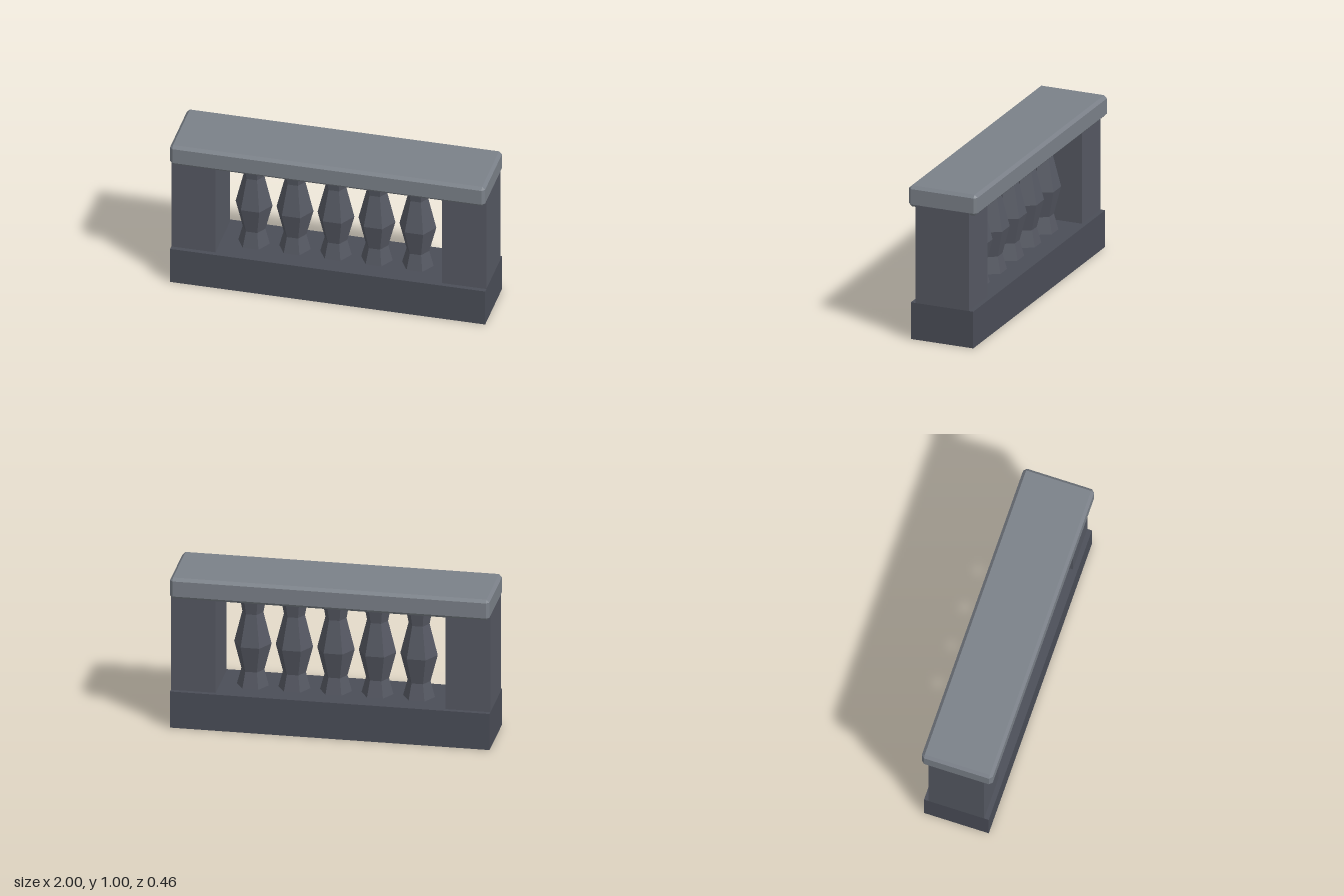
import * as THREE from 'three';
import { ConvexGeometry } from 'three/addons/geometries/ConvexGeometry.js';

const stone = (color) => new THREE.MeshStandardMaterial({ color, flatShading: true });

// Box with every edge cut by a flat chamfer c, centred on the origin
function chamferedBox(w, h, d, c) {
  const points = [];
  for (const sx of [-1, 1]) for (const sy of [-1, 1]) for (const sz of [-1, 1]) {
    const corner = new THREE.Vector3(sx * w / 2, sy * h / 2, sz * d / 2);
    const inset = new THREE.Vector3(sx * c, sy * c, sz * c);
    for (const axis of ['x', 'y', 'z']) {
      const p = corner.clone().sub(inset);
      p[axis] = corner[axis];
      points.push(p);
    }
  }
  return new ConvexGeometry(points);
}

export function createModel() {
  const group = new THREE.Group();
  const add = (name, geometry, material, x, y, z = 0) => {
    const mesh = new THREE.Mesh(geometry, material);
    mesh.name = name;
    mesh.position.set(x, y, z);
    group.add(mesh);
    return mesh;
  };

  const baseStone = stone(0x4a4d57);
  const pierStone = stone(0x555862);
  const railStone = stone(0x7a8088);

  // Plinth
  add('base', new THREE.BoxGeometry(2, 0.24, 0.42), baseStone, 0, 0.12);

  // End piers, reaching up to the rail's end faces
  const pier = new THREE.BoxGeometry(0.28, 0.64, 0.36);
  add('leftPier', pier, pierStone, 0.86, 0.56);
  add('rightPier', pier, pierStone, -0.86, 0.56);

  // Chamfered hand rail
  add('handRail', chamferedBox(2, 0.138, 0.46, 0.019), railStone, 0, 0.931);

  // Six-sided balusters with corners pointing along x
  const profile = [[0, 0.24], [0.1, 0.24], [0.072, 0.345], [0.117, 0.52], [0.066, 0.725], [0.087, 0.84], [0, 0.862]]
    .map(([r, y]) => new THREE.Vector2(r, y));
  const baluster = new THREE.LatheGeometry(profile, 6, Math.PI / 6);
  for (let i = -2; i <= 2; i++) add('baluster' + (i + 3), baluster, pierStone, i * 0.26, 0);

  return group;
}
